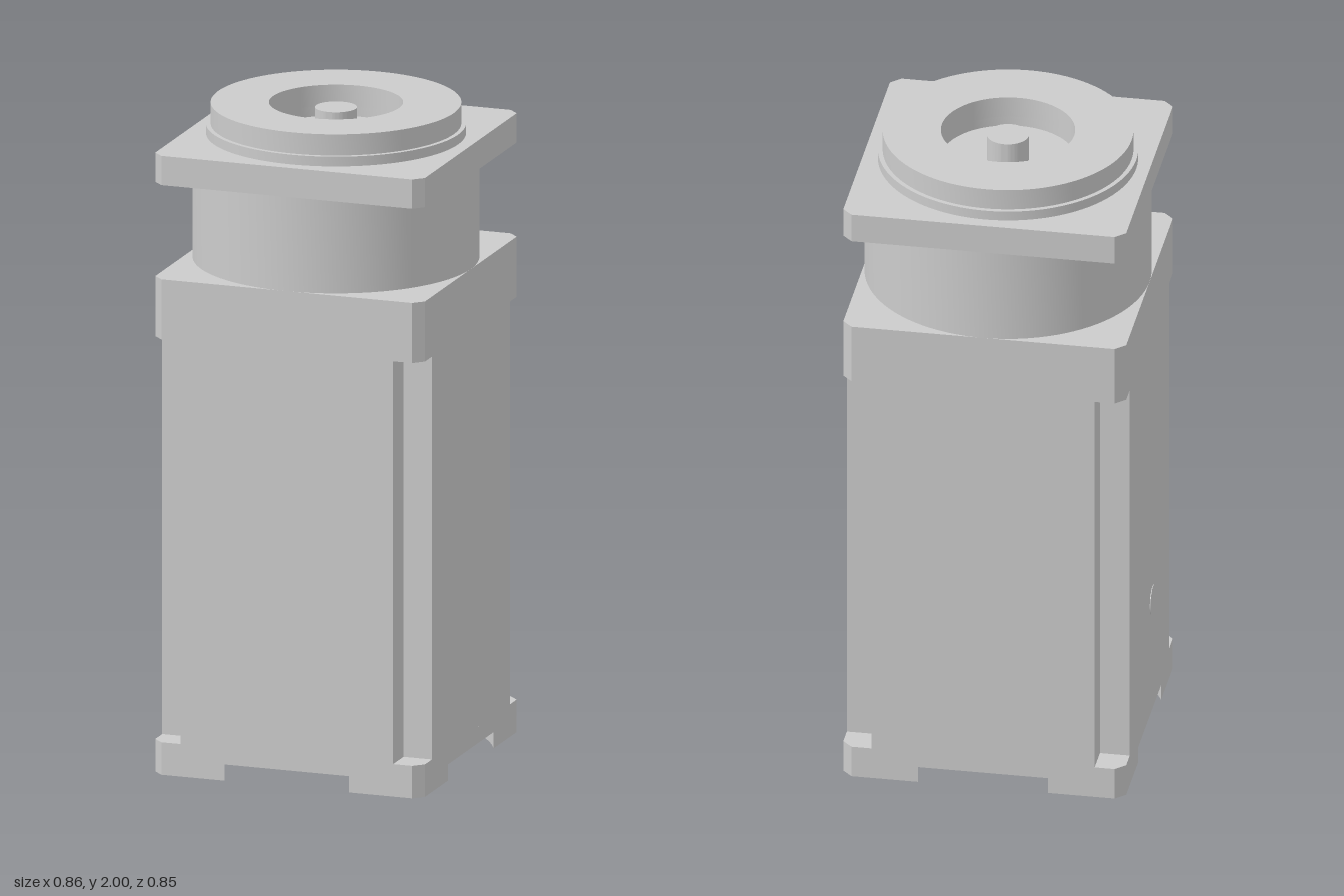
import * as THREE from 'three';
import { toCreasedNormals } from 'three/addons/utils/BufferGeometryUtils.js';

const H = 0.427;   // half width of the housing
const C = 0.03;    // corner chamfer
const N = 0.337;   // inner corner of the screw channels

const material = new THREE.MeshStandardMaterial({ color: 0xcccccc });

// Upright prism of a plan outline between two heights (shape y = -z)
function prism(name, shape, y0, y1) {
  const geo = new THREE.ExtrudeGeometry(shape, { depth: y1 - y0, bevelEnabled: false, curveSegments: 48 });
  geo.rotateX(-Math.PI / 2);
  geo.translate(0, y0, 0);
  const mesh = new THREE.Mesh(toCreasedNormals(geo, 0.5), material);
  mesh.name = name;
  return mesh;
}

// Repeats the points of one corner around all four quadrants
function fourCorners(points) {
  const all = [];
  for (let i = 0; i < 4; i++) {
    for (const [x, y] of points) {
      all.push(new THREE.Vector2(x, y).rotateAround(new THREE.Vector2(), i * Math.PI / 2));
    }
  }
  return new THREE.Shape(all);
}

const chamferedSquare = () => fourCorners([[H, H - C], [H - C, H]]);
const channelledSquare = () => fourCorners([[H, N], [N, N], [N, H]]);

function disc(radius, hole = 0) {
  const shape = new THREE.Shape().absarc(0, 0, radius, 0, Math.PI * 2);
  if (hole) shape.holes.push(new THREE.Path().absarc(0, 0, hole, 0, Math.PI * 2, true));
  return shape;
}

// Long round-ended outline, running front to back
function stadium(cx, r, half) {
  const shape = new THREE.Shape();
  shape.absarc(cx, half, r, 0, Math.PI);
  shape.absarc(cx, -half, r, Math.PI, Math.PI * 2);
  shape.closePath();
  return shape;
}

function withSlot(shape) {
  shape.holes.push(stadium(-0.26, 0.07, 0.23));
  return shape;
}

export function createModel() {
  const model = new THREE.Group();
  model.name = 'motorHousing';

  // Corner feet left around a round recess
  const feet = new THREE.Group();
  feet.name = 'feet';
  const edge = 0.197;
  const radius = Math.hypot(H, edge);
  const angle = Math.atan2(edge, H);
  for (let i = 0; i < 4; i++) {
    const foot = new THREE.Shape();
    foot.moveTo(H, edge);
    foot.lineTo(H, H - C);
    foot.lineTo(H - C, H);
    foot.lineTo(edge, H);
    foot.absarc(0, 0, radius, Math.PI / 2 - angle, angle, true);
    const mesh = prism('foot', foot, 0, 0.05);
    mesh.rotation.y = i * Math.PI / 2;
    feet.add(mesh);
  }
  model.add(feet);

  // Underside: raised cover and cable slot
  model.add(prism('bottomCover', stadium(0.14, 0.19, 0.14), 0.025, 0.05));
  model.add(prism('basePlate', withSlot(chamferedSquare()), 0.05, 0.1));

  // Body with a channel along each corner
  model.add(prism('lowerBody', withSlot(channelledSquare()), 0.1, 0.16));
  model.add(prism('body', channelledSquare(), 0.16, 1.34));
  model.add(prism('bodyHead', chamferedSquare(), 1.34, 1.525));

  // Round neck and mounting flange
  model.add(prism('neck', disc(H), 1.525, 1.815));
  model.add(prism('flange', chamferedSquare(), 1.815, 1.905));

  // Stepped collar with a bore and the shaft inside
  model.add(prism('collarStep', disc(0.387, 0.2), 1.905, 1.935));
  model.add(prism('collar', disc(0.373, 0.2), 1.935, 2));
  model.add(prism('shaft', disc(0.063), 1.9, 1.985));

  // Flush plug on the right side
  const plug = new THREE.Mesh(new THREE.CylinderGeometry(0.045, 0.045, 0.02, 32), material);
  plug.name = 'sidePlug';
  plug.rotation.z = Math.PI / 2;
  plug.position.set(-H + 0.008, 0.42, 0.05);
  model.add(plug);

  return model;
}
